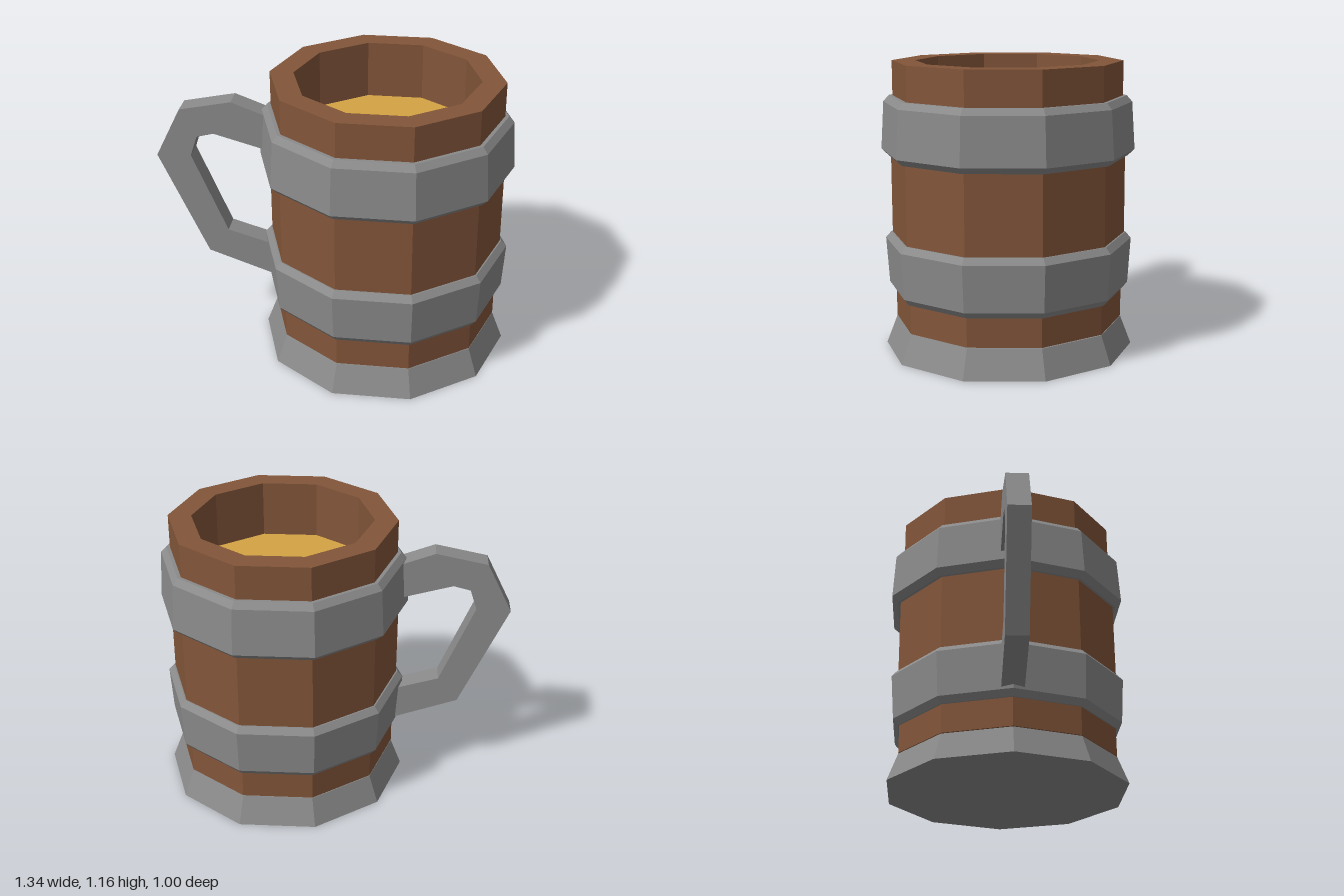
import * as THREE from 'three';

const SIDES = 10;
const TURN = THREE.MathUtils.degToRad(10.5); // aligns the corners of the ten-sided body
const HANDLE_ANGLE = THREE.MathUtils.degToRad(151.5);

function material(color) {
  return new THREE.MeshStandardMaterial({ color, flatShading: true });
}

// Ten-sided turned part from [radius, height] pairs, listed upwards on the outside
function turned(name, profile, mat) {
  const points = profile.map(([r, y]) => new THREE.Vector2(r, y));
  const mesh = new THREE.Mesh(new THREE.LatheGeometry(points, SIDES, TURN), mat);
  mesh.name = name;
  return mesh;
}

export function createModel() {
  const group = new THREE.Group();
  group.name = 'tankard';
  const wood = material(0x825539);
  const metal = material(0x8a8a8a);
  const ale = material(0xd4a444);

  // Everything is built round the mug's axis, which sits beside the centre
  const mug = new THREE.Group();
  mug.name = 'mug';
  mug.position.x = 0.163;
  group.add(mug);

  // Flared foot, closed above and below
  mug.add(turned('base', [[0, 0], [0.503, 0], [0.459, 0.115], [0, 0.115]], metal));

  // Wooden wall, slightly wider between the bands, with a thick rim and hollow inside
  mug.add(turned('body', [
    [0, 0.118], [0.459, 0.118], [0.459, 0.25], [0.47, 0.45], [0.47, 0.8],
    [0.459, 1.01], [0.459, 1.163], [0.365, 1.163], [0.365, 0.9],
  ], wood));

  // Drink surface
  mug.add(turned('drink', [[0.366, 0.93], [0, 0.93]], ale));

  // Metal bands with bevelled edges
  mug.add(turned('lowerBand', [
    [0.44, 0.235], [0.465, 0.235], [0.486, 0.26], [0.498, 0.445], [0.476, 0.47], [0.44, 0.47],
  ], metal));
  mug.add(turned('upperBand', [
    [0.44, 0.785], [0.482, 0.785], [0.508, 0.81], [0.496, 1.0], [0.474, 1.025], [0.44, 1.025],
  ], metal));

  // Angular handle: outer edge from top to bottom, then the inner edge back up
  const outline = [
    [0.45, 0.983], [0.61, 1.043], [0.82, 1.0], [0.923, 0.795], [0.73, 0.362], [0.45, 0.262],
    [0.45, 0.407], [0.646, 0.466], [0.784, 0.8], [0.756, 0.884], [0.687, 0.902], [0.45, 0.836],
  ].map(([r, y]) => new THREE.Vector2(r, y));
  const handleGeometry = new THREE.ExtrudeGeometry(new THREE.Shape(outline), {
    depth: 0.09,
    bevelEnabled: false,
  });
  handleGeometry.translate(0, 0, -0.045);
  const handle = new THREE.Mesh(handleGeometry, metal);
  handle.name = 'handle';
  handle.rotation.y = -HANDLE_ANGLE;
  mug.add(handle);

  return group;
}
